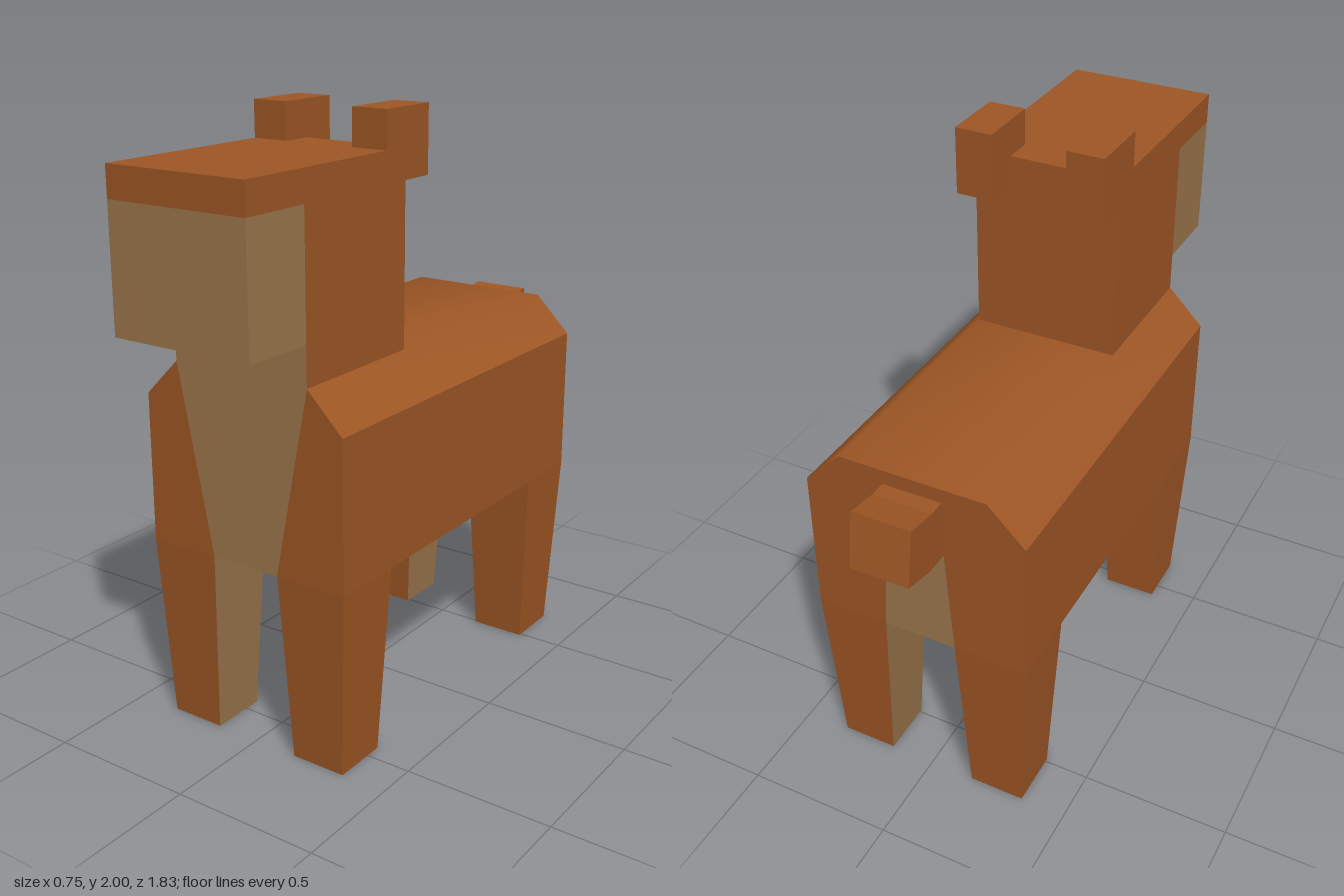
import * as THREE from 'three';

const brown = new THREE.MeshStandardMaterial({ color: 0x9f5725 });
const tan = new THREE.MeshStandardMaterial({ color: 0x9c774c });

// Flat quads, corners counter-clockwise seen from outside
function quadMesh(name, material, quads) {
  const positions = quads.flatMap(([a, b, c, d]) => [a, b, c, a, c, d].flat());
  const geometry = new THREE.BufferGeometry();
  geometry.setAttribute('position', new THREE.Float32BufferAttribute(positions, 3));
  geometry.computeVertexNormals();
  const mesh = new THREE.Mesh(geometry, material);
  mesh.name = name;
  return mesh;
}

const mirrorQuad = (quad) => quad.map(([x, y, z]) => [-x, y, z]).reverse();
const withMirror = (quads) => [...quads, ...quads.map(mirrorQuad)];

// Tapered block between two rectangles [x0, x1, z0, z1]; listed faces are tan
function block(name, y0, lower, y1, upper, tanFaces = []) {
  const corners = ([x0, x1, z0, z1], y) => [[x0, y, z1], [x1, y, z1], [x1, y, z0], [x0, y, z0]];
  const b = corners(lower, y0), t = corners(upper, y1);
  const faces = { top: t, bottom: [...b].reverse() };
  ['front', 'left', 'back', 'right'].forEach((side, i) => {
    const j = (i + 1) % 4;
    faces[side] = [b[i], b[j], t[j], t[i]];
  });
  const pick = (isTan) => Object.keys(faces).filter((k) => tanFaces.includes(k) === isTan).map((k) => faces[k]);
  const group = new THREE.Group();
  group.name = name;
  if (pick(false).length) group.add(quadMesh(name + 'Coat', brown, pick(false)));
  if (pick(true).length) group.add(quadMesh(name + 'Pale', tan, pick(true)));
  return group;
}

const FRONT = 0.665, BACK = -0.71, BELLY = 0.63;

function createBody() {
  const body = new THREE.Group();
  body.name = 'body';

  // Flanks, chest sides and rump
  const flank = [[0.375, BELLY, FRONT], [0.375, BELLY, BACK], [0.375, 1.125, BACK], [0.375, 1.125, FRONT]];
  const chest = [[0.125, BELLY, FRONT], [0.375, BELLY, FRONT], [0.375, 1.125, FRONT], [0.25, 1.25, FRONT]];
  const rumpLow = [[0.375, BELLY, BACK], [0.125, BELLY, BACK], [0.1, 1.0, BACK], [0.375, 1.125, BACK]];
  const rumpHigh = [[0.375, 1.125, BACK], [0.1, 1.0, BACK], [0.1, 1.2, BACK], [0.25, 1.25, BACK]];
  const under = [[0.125, BELLY, FRONT], [0.125, BELLY, BACK], [0.375, BELLY, BACK], [0.375, BELLY, FRONT]];
  const overTail = [[0.1, 1.2, BACK], [-0.1, 1.2, BACK], [-0.25, 1.25, BACK], [0.25, 1.25, BACK]];
  body.add(quadMesh('flanks', brown, [...withMirror([flank, chest, rumpLow, rumpHigh, under]), overTail]));

  // Pale chest, belly and rump patches
  body.add(quadMesh('paleUnderside', tan, [
    [[-0.125, BELLY, FRONT], [0.125, BELLY, FRONT], [0.25, 1.25, FRONT], [-0.25, 1.25, FRONT]],
    [[-0.125, BELLY, BACK], [0.125, BELLY, BACK], [0.125, BELLY, FRONT], [-0.125, BELLY, FRONT]],
    [[0.125, BELLY, BACK], [-0.125, BELLY, BACK], [-0.1, 1.0, BACK], [0.1, 1.0, BACK]],
  ]));

  // Smoothly shaded back: shared vertices blend the top into its bevels
  const profile = [[-0.375, 1.125], [-0.25, 1.25], [0.25, 1.25], [0.375, 1.125]];
  const index = [];
  for (let i = 0; i < 3; i++) {
    const f = i * 2;
    index.push(f, f + 2, f + 3, f, f + 3, f + 1);
  }
  const geometry = new THREE.BufferGeometry();
  const points = profile.flatMap(([x, y]) => [x, y, FRONT, x, y, BACK]);
  geometry.setAttribute('position', new THREE.Float32BufferAttribute(points, 3));
  geometry.setIndex(index);
  geometry.computeVertexNormals();
  const back = new THREE.Mesh(geometry, brown);
  back.name = 'back';
  body.add(back);
  return body;
}

// Tail lofted through [z, y] pairs for its upper and lower edge
function createTail() {
  const upper = [[BACK, 1.2], [-0.765, 1.2], [-0.88, 1.22]];
  const lower = [[BACK, 1.0], [-0.79, 1.0], [-0.91, 1.03]];
  const at = (x, [z, y]) => [x, y, z];
  const w = 0.1, coat = [], pale = [];
  for (let i = 0; i < 2; i++) {
    const [u0, u1, l0, l1] = [upper[i], upper[i + 1], lower[i], lower[i + 1]];
    coat.push(...withMirror([[at(w, l0), at(w, l1), at(w, u1), at(w, u0)]]));
    coat.push([at(-w, u0), at(w, u0), at(w, u1), at(-w, u1)]);
    (i === 0 ? pale : coat).push([at(-w, l1), at(w, l1), at(w, l0), at(-w, l0)]);
  }
  coat.push([at(w, lower[2]), at(-w, lower[2]), at(-w, upper[2]), at(w, upper[2])]);
  const tail = new THREE.Group();
  tail.name = 'tail';
  tail.add(quadMesh('tailCoat', brown, coat), quadMesh('tailPale', tan, pale));
  return tail;
}

export function createModel() {
  const model = new THREE.Group();
  model.name = 'animal';
  model.add(createBody(), createTail());

  // Neck, muzzle and brow
  const neck = [-0.25, 0.25, 0.165, FRONT];
  const snout = [-0.25, 0.25, FRONT, 0.915];
  model.add(block('neck', 1.25, neck, 1.88, neck, ['front']));
  model.add(block('muzzle', 1.38, snout, 1.78, snout, ['front', 'left', 'right', 'bottom', 'top', 'back']));
  model.add(block('brow', 1.78, snout, 1.88, snout));

  // Ears and tapered legs, pale on the inner side
  for (const [side, s] of [['left', 1], ['right', -1]]) {
    const span = (a, b) => (s > 0 ? [a, b] : [-b, -a]);
    const ear = [...span(0.125, 0.25), 0.04, 0.265];
    model.add(block(side + 'Ear', 1.78, ear, 2.0, ear));
    const inner = s > 0 ? 'right' : 'left';
    for (const [end, z0, z1] of [['Front', 0.415, FRONT], ['Back', BACK, -0.46]]) {
      const foot = [...span(0.155, 0.345), z0 + 0.03, z1 - 0.03];
      const hip = [...span(0.125, 0.375), z0, z1];
      model.add(block(side + end + 'Leg', 0, foot, BELLY, hip, [inner]));
    }
  }
  return model;
}
